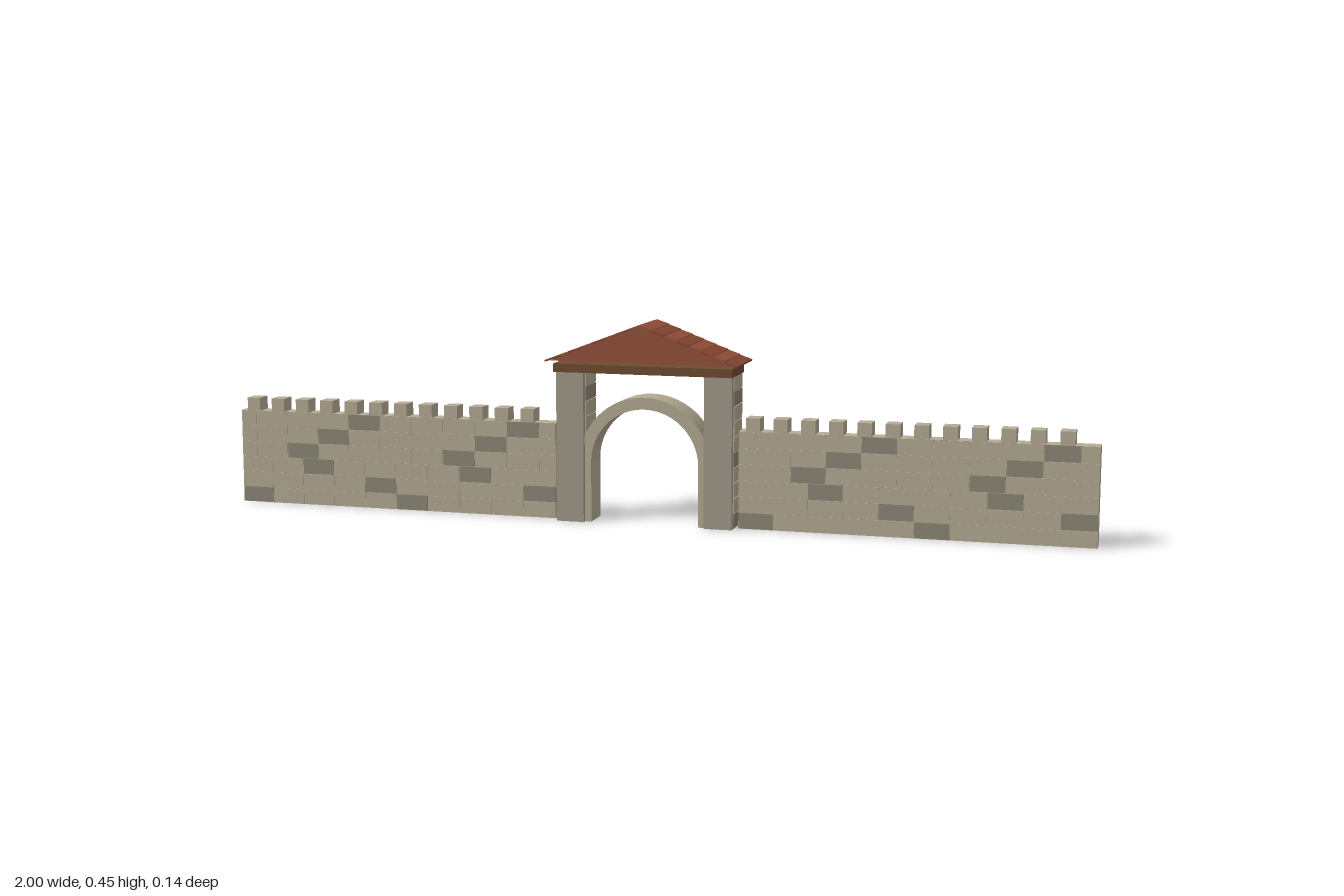
import * as THREE from 'three';

const mat = (color) => new THREE.MeshStandardMaterial({ color, flatShading: true });
const LIGHT = mat(0xb5ab95), DARK = mat(0x8c8675), STONE = mat(0xa1988a);
const WOOD = mat(0x6e4c31), TILE = mat(0x93503a), TILE_DARK = mat(0x874630);

// Box given by its minimum and maximum corners
function box(parent, name, material, x0, x1, y0, y1, z0, z1) {
  const mesh = new THREE.Mesh(new THREE.BoxGeometry(x1 - x0, y1 - y0, z1 - z0), material);
  mesh.position.set((x0 + x1) / 2, (y0 + y1) / 2, (z0 + z1) / 2);
  mesh.name = name;
  parent.add(mesh);
  return mesh;
}

// Shape in the xy plane, extruded symmetrically about z = 0
function slab(parent, name, material, shape, depth) {
  const geo = new THREE.ExtrudeGeometry(shape, { depth, bevelEnabled: false, curveSegments: 24 });
  geo.translate(0, 0, -depth / 2);
  const mesh = new THREE.Mesh(geo, material);
  mesh.name = name;
  parent.add(mesh);
}

// Wall with slightly proud bricks and a row of merlons, starting at x = 0
function makeWall() {
  const wall = new THREE.Group();
  const length = 0.786, height = 0.22, brick = length / 10, course = height / 6;
  box(wall, 'wallCore', LIGHT, 0, length, 0, height, -0.02, 0.02);
  const darkStart = [0, 4, 2, 1.5, 2.5, 3.5];
  darkStart.forEach((start, row) => {
    const shift = start % 1;
    for (let i = shift ? -1 : 0; i < 10; i++) {
      const x0 = Math.max(0, (i + shift) * brick) + 0.0008;
      const x1 = Math.min(length, (i + shift + 1) * brick) - 0.0008;
      const dark = (i - Math.floor(start) + 10) % 5 === 0;
      box(wall, 'brick', dark ? DARK : LIGHT, x0, x1,
        row * course + 0.0006, (row + 1) * course - 0.0006, -0.0215, 0.0215);
    }
  });
  for (let i = 0; i < 12; i++) {
    const x = 0.032 + i * 0.0623;
    box(wall, 'merlon', LIGHT, x - 0.016, x + 0.016, height, 0.25, -0.02, 0.02);
  }
  return wall;
}

// Gate pillar with brick facing on both x faces
function makePillar() {
  const pillar = new THREE.Group();
  box(pillar, 'pillarCore', STONE, -0.032, 0.032, 0, 0.345, -0.045, 0.045);
  const course = 0.0345;
  for (let row = 0; row < 10; row++) {
    box(pillar, 'pillarBrick', row % 4 === 0 ? DARK : LIGHT, -0.0345, 0.0345,
      row * course + 0.001, (row + 1) * course - 0.001, -0.044, 0.032);
  }
  return pillar;
}

// Round-headed arch between the pillars
function makeArch(parent) {
  const outer = 0.152, inner = 0.125, spring = 0.137;
  const s = new THREE.Shape();
  s.moveTo(outer, 0);
  s.lineTo(outer, spring);
  s.absarc(0, spring, outer, 0, Math.PI, false);
  s.lineTo(-outer, 0);
  s.lineTo(-inner, 0);
  s.lineTo(-inner, spring);
  s.absarc(0, spring, inner, Math.PI, 0, true);
  s.lineTo(inner, 0);
  slab(parent, 'arch', LIGHT, s, 0.07);
}

// Gabled roof with overlapping tile courses running along z
function makeRoof() {
  const roof = new THREE.Group();
  const gable = new THREE.Shape();
  gable.moveTo(-0.21, 0.37);
  gable.lineTo(0.21, 0.37);
  gable.lineTo(0, 0.453);
  slab(roof, 'gable', TILE, gable, 0.14);
  const rows = 8, rise = 0.085, run = 0.221;
  const step = Math.hypot(run, rise) / rows, angle = Math.atan2(rise, run);
  for (const side of [-1, 1]) {
    for (let i = 0; i < rows; i++) {
      const t = (i + 0.5) / rows;
      const tile = new THREE.Mesh(new THREE.BoxGeometry(step * 1.04, 0.004, 0.144),
        i % 2 ? TILE_DARK : TILE);
      tile.position.set(side * run * t, 0.4535 - rise * t, 0);
      tile.rotation.z = -side * (angle - 0.05);
      tile.name = 'roofTile';
      roof.add(tile);
    }
  }
  return roof;
}

export function createModel() {
  const model = new THREE.Group();
  model.name = 'walledGateway';

  // Walls on both sides of the gate
  for (const [name, x] of [['rightWall', -1], ['leftWall', 0.214]]) {
    const wall = makeWall();
    wall.name = name;
    wall.position.x = x;
    model.add(wall);
  }

  // Pillars
  for (const side of [-1, 1]) {
    const pillar = makePillar();
    pillar.name = side < 0 ? 'rightPillar' : 'leftPillar';
    pillar.position.x = side * 0.172;
    model.add(pillar);
  }

  makeArch(model);
  box(model, 'lintel', WOOD, -0.207, 0.207, 0.343, 0.362, -0.058, 0.058);

  const roof = makeRoof();
  roof.name = 'roof';
  model.add(roof);
  return model;
}
